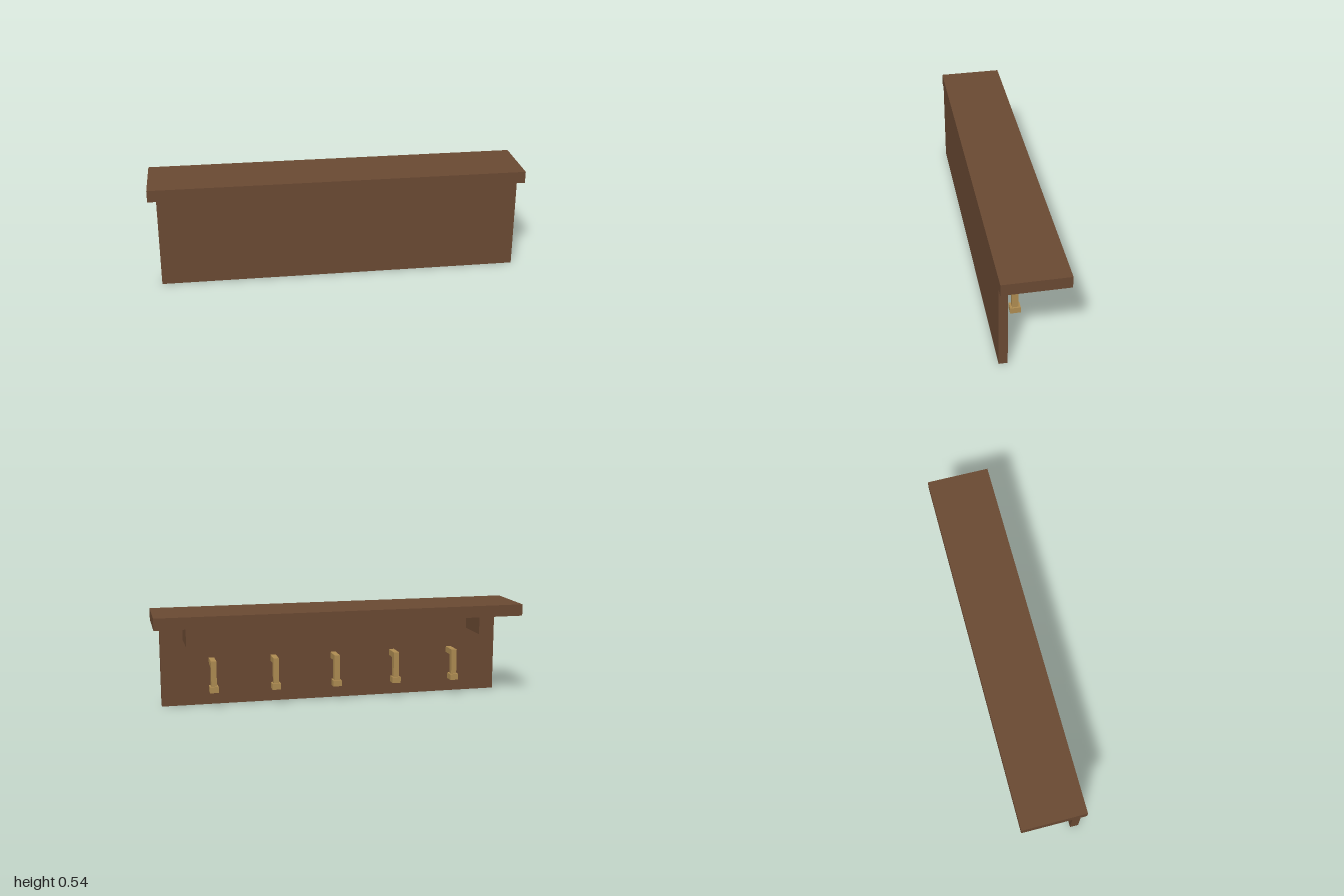
import * as THREE from 'three';

export function createModel() {
  const model = new THREE.Group();
  model.name = 'coatRack';

  const wood = new THREE.MeshStandardMaterial({ color: 0x6b4a33 });
  wood.name = 'brown wood';
  const brass = new THREE.MeshStandardMaterial({ color: 0xb08d52 });
  brass.name = 'brass';

  // Box given by its centre x, width, and its y and z ranges
  function addBox(parent, name, material, x, width, [y0, y1], [z0, z1]) {
    const mesh = new THREE.Mesh(new THREE.BoxGeometry(width, y1 - y0, z1 - z0), material);
    mesh.position.set(x, (y0 + y1) / 2, (z0 + z1) / 2);
    mesh.name = name;
    parent.add(mesh);
  }

  // Top shelf and wall board
  addBox(model, 'shelf', wood, 0, 2, [0.474, 0.537], [-0.17, 0.17]);
  addBox(model, 'wallBoard', wood, 0, 1.91, [0, 0.474], [0.125, 0.17]);

  // Brackets under the shelf
  for (const side of [-1, 1]) {
    addBox(model, side > 0 ? 'leftBracket' : 'rightBracket', wood,
      side * 0.808, 0.048, [0.363, 0.474], [-0.085, 0.125]);
  }

  // Five hooks: arm, hanging stem and square tip
  for (let i = -2; i <= 2; i++) {
    const hook = new THREE.Group();
    hook.name = 'hook';
    hook.position.x = i * 0.34;
    addBox(hook, 'hookArm', brass, 0, 0.03, [0.227, 0.26], [0.055, 0.125]);
    addBox(hook, 'hookStem', brass, 0, 0.03, [0.12, 0.26], [0.023, 0.055]);
    addBox(hook, 'hookTip', brass, 0, 0.047, [0.087, 0.12], [0.012, 0.066]);
    model.add(hook);
  }

  return model;
}
